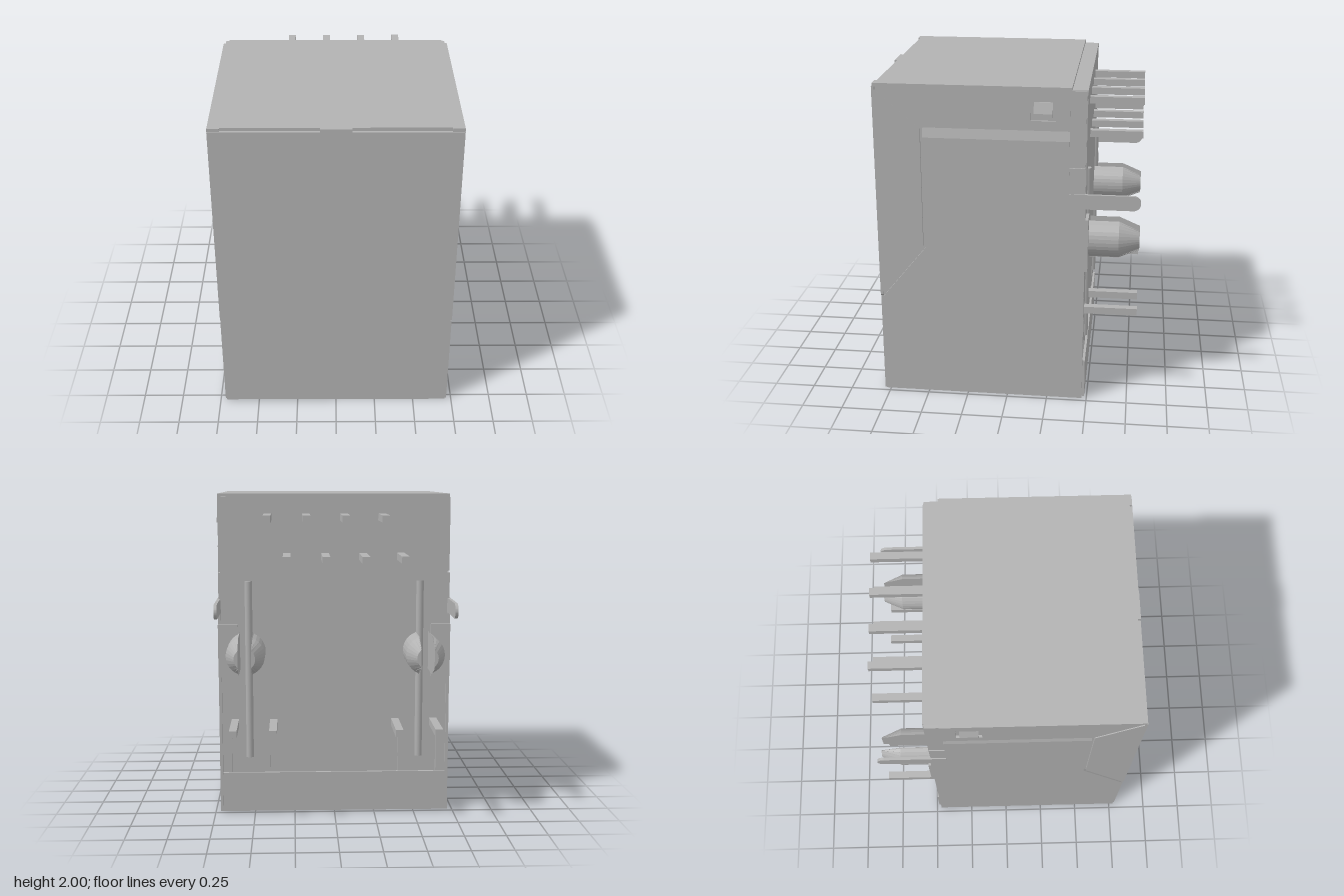
import * as THREE from 'three';

export function createModel() {
  const model = new THREE.Group();
  const grey = new THREE.MeshStandardMaterial({ color: 0xb2b2b2 });

  const add = (name, geo) => {
    const mesh = new THREE.Mesh(geo, grey);
    mesh.name = name;
    model.add(mesh);
    return mesh;
  };
  // box given by its limits on each axis
  const box = (name, x0, x1, y0, y1, z0, z1) =>
    add(name, new THREE.BoxGeometry(x1 - x0, y1 - y0, z1 - z0)
      .translate((x0 + x1) / 2, (y0 + y1) / 2, (z0 + z1) / 2));
  const poly = (pts) => new THREE.Shape(pts.map(([a, b]) => new THREE.Vector2(a, b)));
  const rect = (a0, a1, b0, b1) => poly([[a0, b0], [a1, b0], [a1, b1], [a0, b1]]);
  const extrude = (shape, depth) =>
    new THREE.ExtrudeGeometry(shape, { depth, bevelEnabled: false, curveSegments: 8 });
  // plate drawn in (z, y), placed on both sides with its outer face at |x| = outer
  const sidePlates = (name, shape, outer, t) => {
    for (const x of [outer, -outer + t]) {
      add(name, extrude(shape, t).rotateY(-Math.PI / 2).translate(x, 0, 0));
    }
  };

  // plastic housing: solid upper block, lower sleeve with the plug opening
  box('upperHousing', -0.705, 0.705, 1.1, 1.98, -0.44, 0.775);
  const sleeve = rect(-0.705, 0.705, -0.775, 0.44);
  sleeve.holes.push(poly([
    [-0.58, -0.66], [-0.58, 0.12], [-0.34, 0.12], [-0.34, 0.39],
    [0.34, 0.39], [0.34, 0.12], [0.58, 0.12], [0.58, -0.66],
  ]));
  add('socketHousing', extrude(sleeve, 1.09).rotateX(-Math.PI / 2).translate(0, 0.02, 0));

  // rear wall with slots under the lower pins
  const rear = rect(-0.7, 0.7, 0.02, 1.98);
  for (const x of [-0.62, -0.38, 0.38, 0.62]) {
    rear.holes.push(rect(x - 0.022, x + 0.022, 0.22, 0.56));
  }
  add('rearWall', extrude(rear, 0.04).translate(0, 0, -0.47));
  box('rearCap', -0.69, 0.69, 1.9, 1.983, -0.472, -0.37);

  // metal shield: top, front and rear sheets
  add('topShield', extrude(poly([
    [-0.72, 0.38], [-0.72, -0.785], [-0.65, -0.785], [-0.65, -0.772], [-0.09, -0.772],
    [-0.09, -0.79], [0.09, -0.79], [0.09, -0.772], [0.65, -0.772], [0.65, -0.785],
    [0.72, -0.785], [0.72, 0.38],
  ]), 0.02).rotateX(-Math.PI / 2).translate(0, 1.98, 0));
  add('frontShield', extrude(poly([
    [-0.71, 0.005], [0.71, 0.005], [0.71, 0.65], [0.72, 0.66],
    [0.72, 1.98], [-0.72, 1.98], [-0.72, 0.66], [-0.71, 0.65],
  ]), 0.017).translate(0, 0, 0.773));
  box('rearShieldStrip', -0.7, 0.7, 0.01, 0.26, -0.485, -0.465);

  // metal shield: folded side flaps separated by narrow seams
  const upperFlap = poly([[0.78, 1.99], [-0.37, 1.99], [-0.37, 1.742], [0.505, 1.742]]);
  upperFlap.holes.push(rect(-0.29, -0.14, 1.8, 1.93));
  sidePlates('upperSideFlap', upperFlap, 0.72, 0.018);
  sidePlates('frontSideFlap',
    poly([[0.785, 1.97], [0.512, 1.73], [0.512, 0.995], [0.785, 0.66]]), 0.72, 0.018);
  sidePlates('sideShield', poly([
    [0.778, 0.005], [0.778, 0.64], [0.497, 0.985], [0.497, 1.68],
    [-0.37, 1.68], [-0.37, 1.36], [-0.47, 1.36], [-0.47, 0.005],
  ]), 0.72, 0.018);
  sidePlates('rearSideFlange', rect(-0.465, -0.37, 1.53, 1.98), 0.712, 0.018);
  sidePlates('rearSideFlangeLower', rect(-0.465, -0.37, 1.36, 1.518), 0.715, 0.018);

  for (const s of [-1, 1]) {
    // sloping upper edge of the side sheet
    const slope = s > 0 ? [[0.7, 1.68], [0.72, 1.68], [0.706, 1.738], [0.7, 1.738]]
      : [[-0.7, 1.738], [-0.706, 1.738], [-0.72, 1.68], [-0.7, 1.68]];
    add('sideShieldSlope', extrude(poly(slope), 0.867).translate(0, 0, -0.37));
    // wedge latch in the side window
    const wedge = s > 0 ? [[0.7, 1.82], [0.732, 1.82], [0.732, 1.845], [0.712, 1.91], [0.7, 1.91]]
      : [[-0.7, 1.91], [-0.712, 1.91], [-0.732, 1.845], [-0.732, 1.82], [-0.7, 1.82]];
    add('latchWedge', extrude(poly(wedge), 0.11).translate(0, 0, -0.27));

    // bent rear tab and raised rib
    const a = s * 0.6, b = s * 0.72;
    box('rearShieldTab', Math.min(a, b), Math.max(a, b), 0.87, 1.2, -0.488, -0.468);
    add('rearRib', new THREE.CylinderGeometry(0.024, 0.024, 1.11, 10)
      .translate(s * 0.53, 0.915, -0.468));

    // split locating post: two half rounds with a slot between
    for (const h of [-1, 1]) {
      for (const [r0, r1, z0, z1] of [[0.118, 0.118, -0.46, -0.67], [0.118, 0.064, -0.67, -0.795]]) {
        const geo = new THREE.CylinderGeometry(r1, r0, z0 - z1, 32).rotateX(-Math.PI / 2);
        const p = geo.attributes.position;
        for (let i = 0; i < p.count; i++) {
          p.setX(i, h * Math.max(0.04, h * p.getX(i)));
        }
        const flat = geo.toNonIndexed();
        flat.computeVertexNormals();
        add('locatingPost', flat.translate(s * 0.545, 1.035, (z0 + z1) / 2));
      }
    }
    // indicator face beside the latch opening
    const c = s * 0.37, d = s * 0.66;
    box('indicatorLight', Math.min(c, d), Math.max(c, d), 0.012, 0.05, -0.42, -0.15);
  }

  // round-ended grounding tails
  const tail = new THREE.Shape();
  tail.moveTo(-0.37, 1.36);
  tail.lineTo(-0.75, 1.36);
  tail.absarc(-0.75, 1.315, 0.045, Math.PI / 2, Math.PI * 1.5, false);
  tail.lineTo(-0.37, 1.27);
  sidePlates('groundTail', tail, 0.722, 0.018);

  // signal pins in two staggered rows, with spring contacts in the socket
  for (let i = 0; i < 8; i++) {
    const x = (i - 3.5) * 0.1165;
    const y = i % 2 ? 1.86 : 1.62;
    const pinY = i === 7 || i % 2 ? 1.86 : 1.62;
    box('signalPin', x - 0.023, x + 0.023, (y + pinY) / 2 - 0.021, (y + pinY) / 2 + 0.021, -0.795, -0.46);
    const path = new THREE.CatmullRomCurve3([
      [0.66, 0.1], [0.61, 0.09], [0.56, 0.15], [0.45, 0.45], [0.3, 0.85], [0.26, 1.12],
    ].map(([z, cy]) => new THREE.Vector3(x, cy, z)));
    add('springContact', new THREE.TubeGeometry(path, 24, 0.026, 6));
  }
  // thin guides between the contacts
  for (let i = 0; i < 9; i++) {
    const x = (i - 4) * 0.1165;
    box('contactGuide', x - 0.012, x + 0.012, 0.12, 1.1, 0.58, 0.67);
  }
  // indicator pins
  for (const x of [-0.62, -0.38, 0.38, 0.62]) {
    box('indicatorPin', x - 0.023, x + 0.023, 0.558, 0.602, -0.795, -0.42);
  }
  return model;
}
